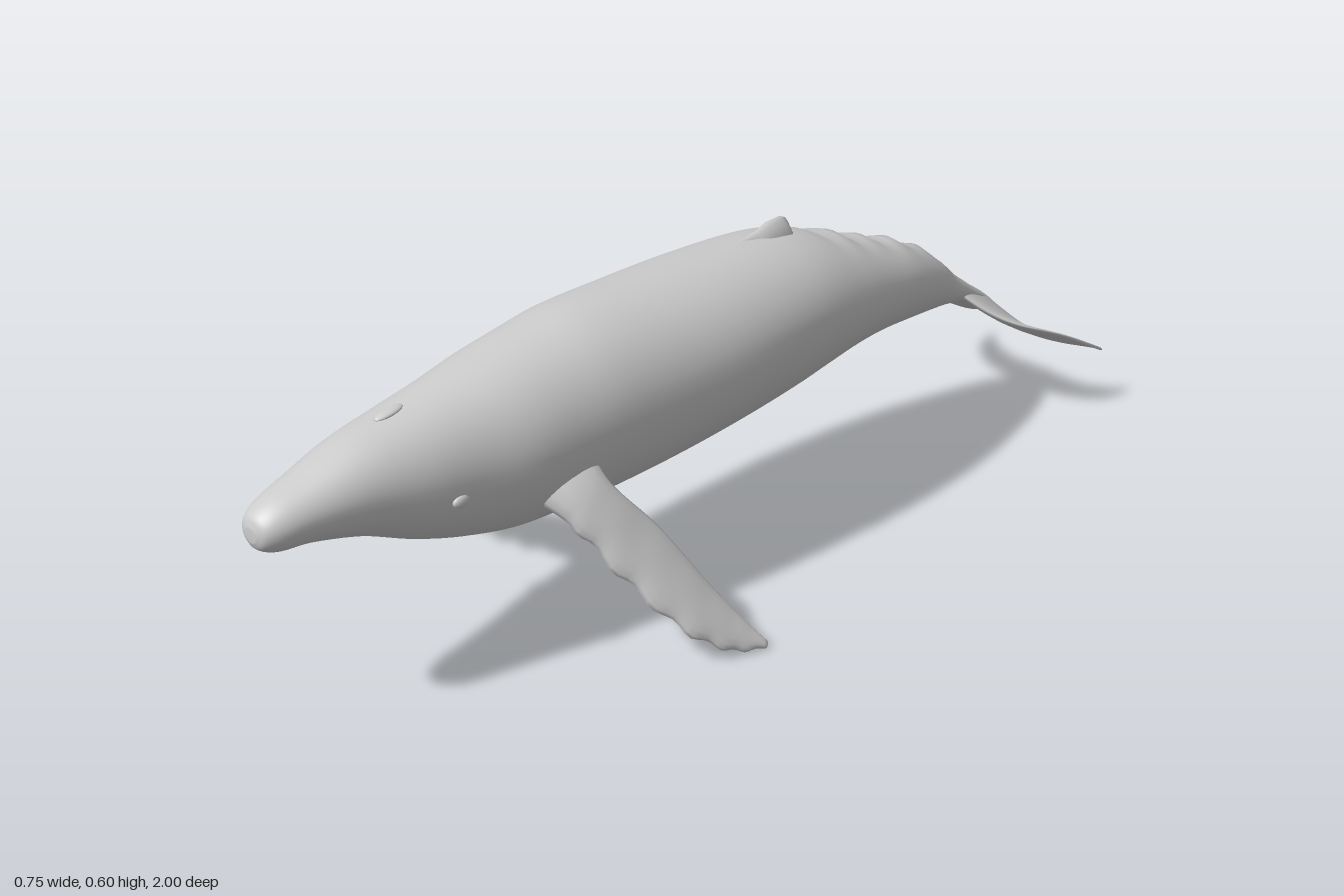
import * as THREE from 'three';

const grey = new THREE.MeshStandardMaterial({ color: 0xcccccc });

// Closed smooth skin through a list of rings, with a fan at both ends.
function loft(name, rings) {
  const n = rings[0].length;
  const centre = (r) => {
    const c = new THREE.Vector3();
    r.forEach((p) => c.add(p));
    return c.divideScalar(n);
  };
  const all = [
    Array(n).fill(centre(rings[0])),
    ...rings,
    Array(n).fill(centre(rings[rings.length - 1])),
  ];
  const points = all.flat();
  const index = [];
  for (let i = 0; i < all.length - 1; i++) {
    for (let j = 0; j < n; j++) {
      const a = i * n + j, b = i * n + ((j + 1) % n), c = a + n, d = b + n;
      if (i > 0) index.push(a, c, b);
      if (i < all.length - 2) index.push(b, c, d);
      if (i === 0) index.push(a, c, d);
    }
  }
  // Turn the faces outward if the enclosed volume comes out negative.
  let volume = 0;
  const cross = new THREE.Vector3();
  for (let i = 0; i < index.length; i += 3) {
    cross.crossVectors(points[index[i + 1]], points[index[i + 2]]);
    volume += points[index[i]].dot(cross);
  }
  if (volume < 0) index.reverse();
  const geometry = new THREE.BufferGeometry().setFromPoints(points);
  geometry.setIndex(index);
  geometry.computeVertexNormals();
  const mesh = new THREE.Mesh(geometry, grey);
  mesh.name = name;
  return mesh;
}

const curve = (pts) => new THREE.CatmullRomCurve3(
  pts.map((p) => new THREE.Vector3(...p)), false, 'catmullrom', 0.5);

// Fin section: pointed oval between a leading and a trailing point.
function finRing(lead, trail, normal, half, n = 16) {
  const ring = [];
  for (let j = 0; j < n; j++) {
    const a = (j / n) * Math.PI * 2;
    const s = (1 - Math.cos(a)) / 2;
    const t = Math.sin(a) * half * (1.2 - 0.5 * s);
    ring.push(lead.clone().lerp(trail, s).addScaledVector(normal, t));
  }
  return ring;
}

// Body stations: z, belly height, back height, half width.
const STATIONS = [
  [1.0, 0.405, 0.43, 0.014], [0.99, 0.388, 0.45, 0.034], [0.96, 0.376, 0.468, 0.05],
  [0.9, 0.37, 0.487, 0.064], [0.8, 0.342, 0.518, 0.086], [0.7, 0.297, 0.535, 0.108],
  [0.6, 0.262, 0.552, 0.124], [0.5, 0.241, 0.57, 0.144], [0.4, 0.235, 0.585, 0.153],
  [0.3, 0.235, 0.597, 0.161], [0.15, 0.243, 0.596, 0.168], [0, 0.256, 0.593, 0.17],
  [-0.15, 0.27, 0.586, 0.16], [-0.25, 0.284, 0.57, 0.148], [-0.35, 0.297, 0.535, 0.131],
  [-0.45, 0.299, 0.495, 0.11], [-0.55, 0.291, 0.457, 0.088], [-0.65, 0.28, 0.4, 0.06],
  [-0.7, 0.273, 0.352, 0.044], [-0.75, 0.262, 0.313, 0.034], [-0.8, 0.245, 0.275, 0.026],
  [-0.85, 0.223, 0.236, 0.01],
];

function makeBody() {
  const outline = curve(STATIONS.map(([z, low, high]) => [z, low, high]));
  const widths = curve(STATIONS.map(([z, , , w]) => [z, w, 0]));
  const rings = [];
  const steps = 105, n = 40;
  for (let i = 0; i <= steps; i++) {
    const { x: z, y: low, z: high } = outline.getPoint(i / steps);
    const w = widths.getPoint(i / steps).y;
    const mid = low + (high - low) * 0.53;
    // Knuckles along the spine behind the dorsal fin
    const knuckle = z < -0.3 && z > -0.72 ? 0.006 * Math.sin((z + 0.3) * 75) : 0;
    const ring = [];
    for (let j = 0; j < n; j++) {
      const a = (j / n) * Math.PI * 2, s = Math.sin(a);
      const y = mid + s * (s > 0 ? high - mid : mid - low) + knuckle * Math.max(0, s) ** 12;
      ring.push(new THREE.Vector3(Math.cos(a) * w, y, z));
    }
    rings.push(ring);
  }
  return loft('body', rings);
}

// Pectoral flipper with a knobbly leading edge
function makeFlipper(side) {
  const lead = curve([[0.09, 0.33, 0.5], [0.155, 0.282, 0.455], [0.232, 0.18, 0.4],
    [0.31, 0.08, 0.33], [0.35, 0.026, 0.255], [0.367, 0.01, 0.19]]);
  const trail = curve([[0.09, 0.42, 0.36], [0.16, 0.345, 0.372], [0.22, 0.245, 0.305],
    [0.285, 0.135, 0.248], [0.33, 0.07, 0.212], [0.367, 0.022, 0.182]]);
  const mirror = new THREE.Vector3(side, 1, 1);
  const rings = [];
  for (let i = 0; i <= 40; i++) {
    const t = i / 40;
    const a = lead.getPoint(t), b = trail.getPoint(t);
    const chord = b.clone().sub(a);
    const normal = lead.getTangent(t).cross(chord).normalize();
    if (t > 0.2) a.addScaledVector(chord, 0.05 * Math.sin(t * 48));
    const half = 0.007 + 0.017 * (1 - t) + 0.03 * Math.max(0, 0.25 - t);
    rings.push(finRing(a, b, normal, half).map((p) => p.multiply(mirror)));
  }
  return loft(side > 0 ? 'leftFlipper' : 'rightFlipper', rings);
}

// Tail flukes: one skin from tip to tip. Rows: x, leading z, trailing z.
function makeFlukes() {
  const half = [[0.04, -0.735, -0.89], [0.085, -0.768, -0.91], [0.125, -0.8, -0.934],
    [0.158, -0.835, -0.957], [0.18, -0.89, -0.982], [0.19, -0.985, -1.0]];
  const rows = [...half.map(([x, a, b]) => [-x, a, b]).reverse(), [0, -0.715, -0.866], ...half];
  const plan = curve(rows);
  const normal = new THREE.Vector3(0, 0.85, -0.53);
  const height = (x, z) => 0.293 + (z + 0.75) * 0.62 - 0.04 * x
    - 0.028 * Math.sin((Math.PI * x) / 0.19);
  const rings = [];
  for (let i = 0; i <= 48; i++) {
    const { x, y: front, z: back } = plan.getPoint(i / 48);
    const ax = Math.min(Math.abs(x), 0.19);
    rings.push(finRing(
      new THREE.Vector3(x, height(ax, front), front),
      new THREE.Vector3(x, height(ax, back), back),
      normal, 0.003 + 0.011 * (1 - ax / 0.19)));
  }
  return loft('tailFlukes', rings);
}

// Low dorsal fin. Rows: z, top height, base half width.
function makeDorsalFin() {
  const rows = [[-0.06, 0.585, 0.008], [-0.12, 0.591, 0.02], [-0.16, 0.597, 0.026],
    [-0.19, 0.607, 0.028], [-0.22, 0.608, 0.026], [-0.235, 0.6, 0.024],
    [-0.245, 0.58, 0.02], [-0.26, 0.562, 0.008]];
  const rings = rows.map(([z, top, w]) => [
    [w, 0.55], [w * 0.8, top - 0.022], [w * 0.3, top - 0.006], [0, top],
    [-w * 0.3, top - 0.006], [-w * 0.8, top - 0.022], [-w, 0.55],
  ].map(([x, y]) => new THREE.Vector3(x, y, z)));
  return loft('dorsalFin', rings);
}

function makeBump(name, size, position) {
  const mesh = new THREE.Mesh(new THREE.SphereGeometry(1, 14, 10), grey);
  mesh.name = name;
  mesh.scale.set(...size);
  mesh.position.set(...position);
  return mesh;
}

export function createModel() {
  const whale = new THREE.Group();
  whale.name = 'whale';
  whale.add(makeBody(), makeFlukes(), makeDorsalFin());
  // Blowhole ridge on top of the head
  const blowhole = makeBump('blowhole', [0.012, 0.006, 0.03], [0, 0.534, 0.71]);
  blowhole.rotation.x = 0.16;
  whale.add(blowhole);
  for (const side of [1, -1]) {
    whale.add(makeFlipper(side));
    whale.add(makeBump(side > 0 ? 'leftEye' : 'rightEye',
      [0.008, 0.012, 0.018], [side * 0.112, 0.39, 0.655]));
  }
  return whale;
}
